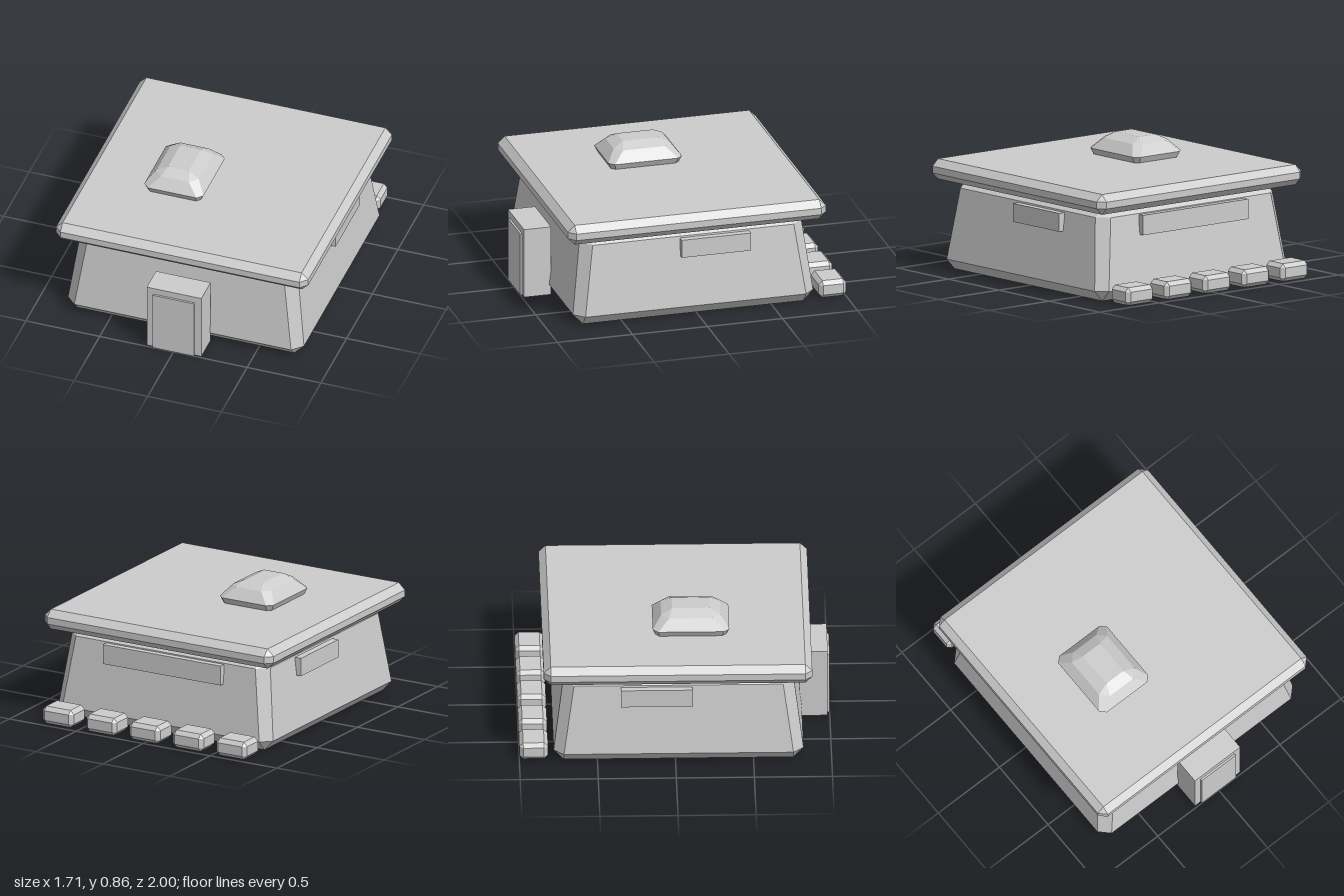
import * as THREE from 'three';

const grey = new THREE.MeshStandardMaterial({ color: 0xcccccc });
grey.name = 'plain grey';
grey.flatShading = true;

// Octagonal ring, counter-clockwise from above: half sizes hx, hz and corner cut c
function ring([y, hx, hz, c]) {
  return [
    [hx, hz - c], [hx, c - hz], [hx - c, -hz], [c - hx, -hz],
    [-hx, c - hz], [-hx, hz - c], [c - hx, hz], [hx - c, hz],
  ].map(([x, z]) => new THREE.Vector3(x, y, z));
}

// Closed solid through a stack of rings, with flat faces
function bevelled(sections) {
  const rings = sections.map(ring), pts = [];
  const tri = (a, b, c) => {
    const area = b.clone().sub(a).cross(c.clone().sub(a)).length();
    if (area > 1e-9) pts.push(a, b, c);
  };
  for (let r = 0; r < rings.length - 1; r++) {
    const lo = rings[r], up = rings[r + 1];
    for (let i = 0; i < 8; i++) {
      const j = (i + 1) % 8;
      tri(lo[i], lo[j], up[j]);
      tri(lo[i], up[j], up[i]);
    }
  }
  const bottom = rings[0], top = rings[rings.length - 1];
  for (let i = 1; i < 7; i++) {
    tri(bottom[0], bottom[i + 1], bottom[i]);
    tri(top[0], top[i], top[i + 1]);
  }
  const geometry = new THREE.BufferGeometry().setFromPoints(pts);
  geometry.computeVertexNormals();
  return geometry;
}

export function createModel() {
  const model = new THREE.Group();
  model.name = 'building';

  const add = (name, geometry, x, y, z) => {
    const mesh = new THREE.Mesh(geometry, grey);
    mesh.name = name;
    mesh.position.set(x, y, z);
    model.add(mesh);
  };
  // Plain box given by its minimum and maximum corners
  const box = (name, a, b) => add(name,
    new THREE.BoxGeometry(b[0] - a[0], b[1] - a[1], b[2] - a[2]),
    (a[0] + b[0]) / 2, (a[1] + b[1]) / 2, (a[2] + b[2]) / 2);

  // Tapered walls
  add('walls', bevelled([
    [0, 0.735, 0.735, 0],
    [0.07, 0.8, 0.8, 0.065],
    [0.535, 0.74, 0.74, 0.07],
    [0.59, 0.67, 0.67, 0],
  ]), 0, 0, 0.02);

  // Overhanging roof slab
  add('roof', bevelled([
    [0.583, 0.81, 0.815, 0],
    [0.627, 0.855, 0.86, 0.045],
    [0.671, 0.855, 0.86, 0.045],
    [0.715, 0.81, 0.815, 0],
  ]), 0, 0, 0.015);

  // Faceted dome on the roof
  add('roofDome', bevelled([
    [0.714, 0.18, 0.225, 0.025],
    [0.755, 0.2, 0.245, 0.035],
    [0.825, 0.145, 0.19, 0.05],
    [0.86, 0.07, 0.12, 0],
  ]), -0.235, 0, 0.107);

  // Porch with a raised door panel
  box('porch', [-0.185, 0, 0.807], [0.185, 0.465, 0.987]);
  box('door', [-0.14, 0, 0.98], [0.14, 0.42, 1]);

  // Window boxes on both sides and across the back
  box('leftWindow', [0.745, 0.405, -0.35], [0.79, 0.525, 0.11]);
  box('rightWindow', [-0.79, 0.405, -0.35], [-0.745, 0.525, 0.11]);
  box('backWindow', [-0.44, 0.4, -0.77], [0.44, 0.53, -0.728]);

  // Row of bevelled blocks behind the building
  const block = bevelled([
    [0.008, 0.09, 0.067, 0],
    [0.034, 0.115, 0.092, 0.025],
    [0.098, 0.115, 0.092, 0.025],
    [0.124, 0.09, 0.067, 0],
  ]);
  for (let i = -2; i <= 2; i++) add('backBlock', block, i * 0.324, 0, -0.908);

  return model;
}
